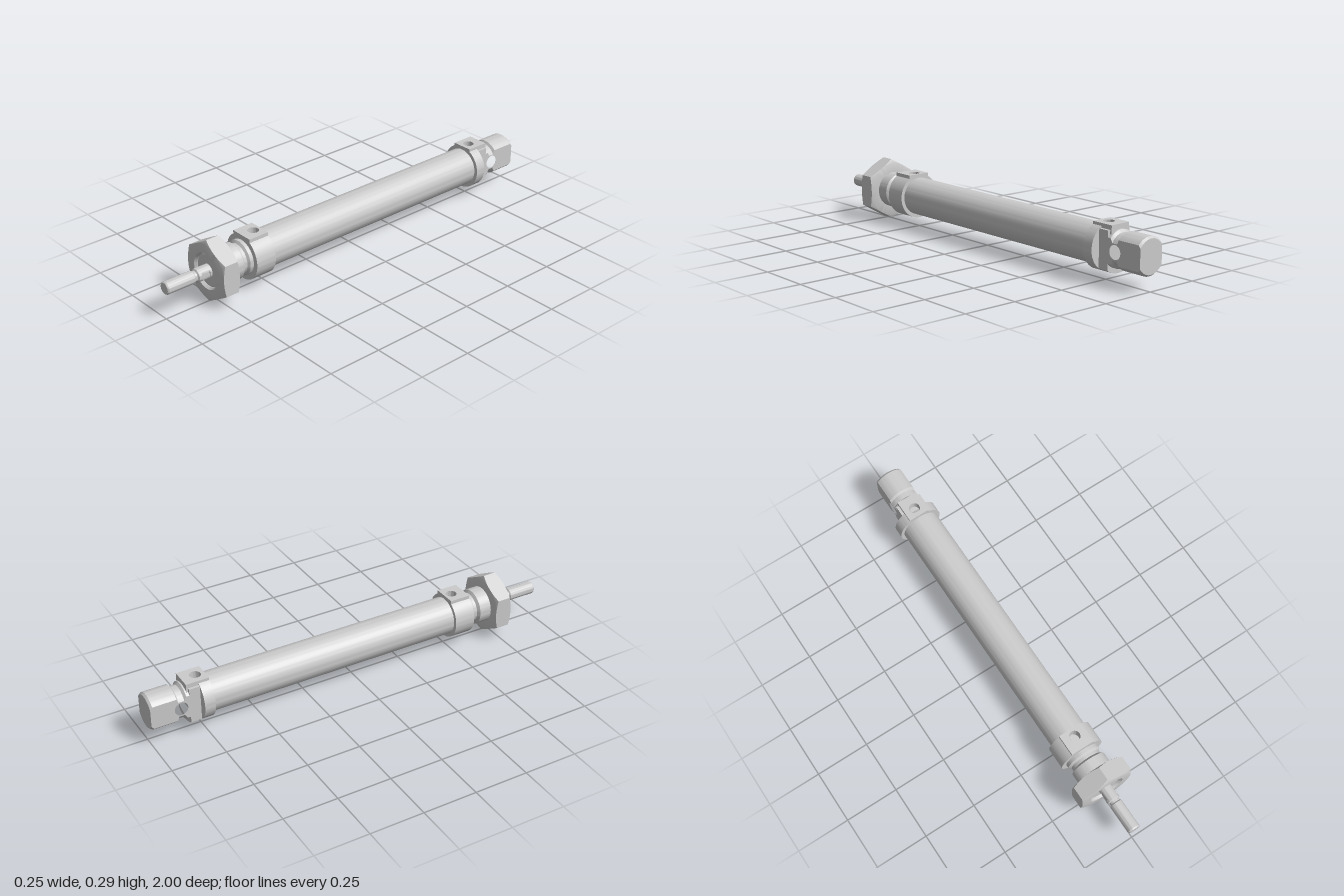
import * as THREE from 'three';
import { toCreasedNormals } from 'three/addons/utils/BufferGeometryUtils.js';

const material = new THREE.MeshStandardMaterial({ color: 0xcccccc });
const AXIS = 0.1455;      // height of the centre line
const COLLAR = 0.1045;    // collar radius
const FLAT = 0.0625;      // half width of the rear tongue

export function createModel() {
  const group = new THREE.Group();

  function add(name, geometry) {
    const mesh = new THREE.Mesh(toCreasedNormals(geometry, 0.5), material);
    mesh.name = name;
    group.add(mesh);
    return mesh;
  }

  // Moves every vertex by a rule
  function reshape(geometry, rule) {
    const p = geometry.attributes.position;
    const v = new THREE.Vector3();
    for (let i = 0; i < p.count; i++) {
      rule(v.fromBufferAttribute(p, i));
      p.setXYZ(i, v.x, v.y, v.z);
    }
    return geometry;
  }

  // Lathe about the z axis; profile points are [radius, z]
  function turn(profile, segments = 64, start = 0, length = Math.PI * 2) {
    const points = profile.map(([r, z]) => new THREE.Vector2(r, z));
    return new THREE.LatheGeometry(points, segments, start, length).rotateX(Math.PI / 2);
  }

  // Barrel, narrowed where the collars sit over it
  add('barrel', turn([
    [0, -0.79], [0.05, -0.79], [0.05, -0.72], [0.0875, -0.72],
    [0.0875, 0.5], [0.05, 0.5], [0.05, 0.6], [0, 0.6],
  ]));

  // Threaded nose with relief groove
  add('threadedNose', turn([
    [0, 0.59], [0.081, 0.59], [0.081, 0.617], [0.07, 0.625], [0.07, 0.64],
    [0.083, 0.65], [0.083, 0.767], [0.072, 0.778], [0, 0.778],
  ]));

  // Piston rod with two wrench flats and a threaded tip
  add('pistonRod', reshape(turn([
    [0, 0.77], [0.031, 0.77], [0.031, 0.788], [0.031, 0.789], [0.031, 0.83],
    [0.031, 0.831], [0.031, 0.843], [0.024, 0.848], [0.024, 0.858],
    [0.029, 0.863], [0.029, 0.994], [0.025, 1], [0, 1],
  ], 48), (v) => {
    if (v.z > 0.7885 && v.z < 0.8305) v.x = THREE.MathUtils.clamp(v.x, -0.026, 0.026);
  }));

  // Hexagonal nut: the outer rings follow a hexagon, with chamfered corners
  const apothem = 0.126;
  add('hexNut', reshape(turn([
    [0.075, 0.708], [apothem, 0.708], [0.2, 0.708], [0.2, 0.79],
    [apothem, 0.79], [0.083, 0.79], [0.075, 0.779], [0.075, 0.708],
  ], 72), (v) => {
    const r = Math.hypot(v.x, v.y);
    if (r < 0.19) return;
    const sector = Math.PI / 3;
    const angle = Math.atan2(v.y, v.x) + Math.PI * 2;
    const offset = angle - Math.round(angle / sector) * sector;
    const hex = apothem / Math.cos(offset);
    v.x *= hex / r;
    v.y *= hex / r;
    v.z += (v.z < 0.75 ? 1 : -1) * (hex - apothem) * 0.5;
  }));

  // Collar ring left open at the top for its port pad
  function collar(name, z0, z1, padHalfWidth) {
    const gap = Math.asin(padHalfWidth / COLLAR) - 0.01;
    add(name, turn([
      [0.05, z0], [COLLAR, z0], [COLLAR, z1], [0.05, z1], [0.05, z0],
    ], 64, Math.PI + gap, Math.PI * 2 - gap * 2));
  }
  collar('frontCollar', 0.5, 0.6, 0.056);
  collar('rearCollar', -0.77, -0.72, 0.05);

  // Flat pad with a vertical port hole
  function portPad(name, z0, z1, halfWidth, holeZ) {
    const shape = new THREE.Shape([
      new THREE.Vector2(-halfWidth, -z1), new THREE.Vector2(halfWidth, -z1),
      new THREE.Vector2(halfWidth, -z0), new THREE.Vector2(-halfWidth, -z0),
    ]);
    shape.holes.push(new THREE.Path().absarc(0, -holeZ, 0.025, 0, Math.PI * 2, true));
    const geometry = new THREE.ExtrudeGeometry(shape, {
      depth: COLLAR - 0.04, bevelEnabled: false, curveSegments: 24,
    });
    add(name, geometry.rotateX(-Math.PI / 2).translate(0, 0.04, 0));
  }
  portPad('frontPortPad', 0.5, 0.6, 0.056, 0.537);
  portPad('rearPortPad', -0.828, -0.72, 0.05, -0.762);

  // Shoulders beside the rear pad
  for (const side of [-1, 1]) {
    add('rearShoulder', new THREE.BoxGeometry(0.0145, 0.06, 0.052)
      .translate(side * (FLAT - 0.00725), 0.054, -0.794));
  }

  // Rear tongue: side outline with a pin hole, crowned to round radii across x
  const pinZ = -0.86;
  const tail = [[0.083, -0.82], [0.083, -0.835], [0.072, -0.845], [0.072, -0.872],
    [0.083, -0.88], [0.083, -0.99], [0.075, -1]];
  const atFlat = (r) => Math.sqrt(r * r - FLAT * FLAT);
  const upper = [[0.07, -0.765], [0.07, -0.82], ...tail];
  const lower = [[COLLAR, -0.765], [COLLAR, -0.82], ...tail];
  const outline = new THREE.Shape([
    ...upper.map(([r, z]) => new THREE.Vector2(-z, atFlat(r))),
    ...lower.reverse().map(([r, z]) => new THREE.Vector2(-z, -atFlat(r))),
  ]);
  outline.holes.push(new THREE.Path().absarc(-pinZ, 0, 0.031, 0, Math.PI * 2, true));
  const tongue = new THREE.ExtrudeGeometry(outline, {
    depth: FLAT * 2, steps: 16, bevelEnabled: false, curveSegments: 24,
  }).rotateY(Math.PI / 2).translate(-FLAT, 0, 0);
  add('rearTongue', reshape(tongue, (v) => {
    if (Math.hypot(v.y, v.z - pinZ) < 0.0315) return;
    v.y = Math.sign(v.y) * Math.sqrt(v.y * v.y + Math.max(0, FLAT * FLAT - v.x * v.x));
  }));

  for (const mesh of group.children) mesh.position.y = AXIS;
  return group;
}
